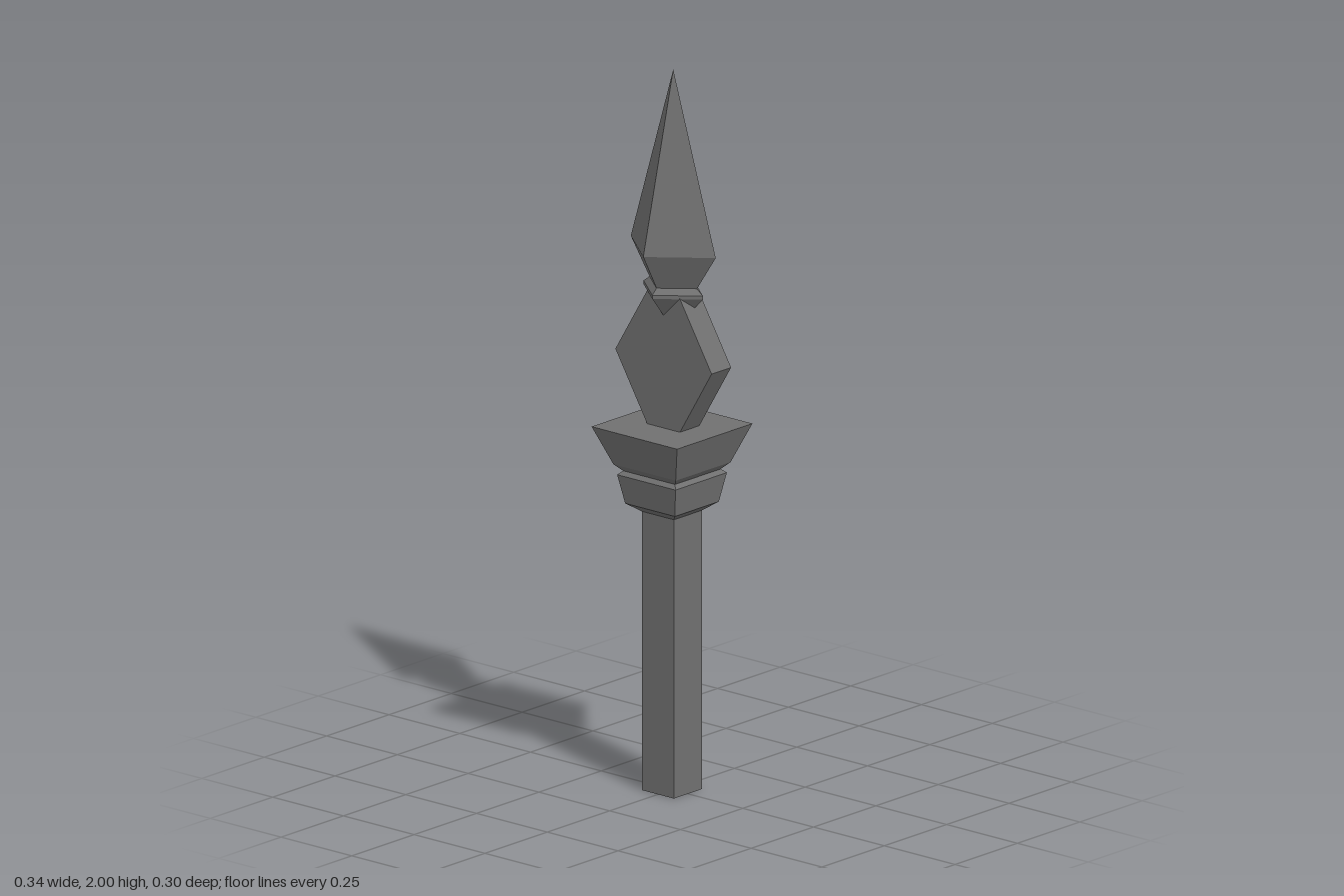
import * as THREE from 'three';

const material = new THREE.MeshStandardMaterial({ color: 0x707070, flatShading: true });

// Four-sided solid from [radius, y] points, listed bottom to top
function fourSided(name, profile) {
  const points = profile.map(([r, y]) => new THREE.Vector2(r, y));
  const geometry = new THREE.LatheGeometry(points, 4).toNonIndexed();
  geometry.computeVertexNormals();
  const mesh = new THREE.Mesh(geometry, material);
  mesh.name = name;
  return mesh;
}

// Square solid with its sides facing the axes, from [half width, y] points
function square(name, profile) {
  const mesh = fourSided(name, profile.map(([w, y]) => [w * Math.SQRT2, y]));
  mesh.geometry.rotateY(Math.PI / 4);
  return mesh;
}

export function createModel() {
  const spear = new THREE.Group();
  spear.name = 'spear';

  // Square shaft
  const shaft = new THREE.Mesh(new THREE.BoxGeometry(0.112, 0.8, 0.112), material);
  shaft.name = 'shaft';
  shaft.position.y = 0.4;
  spear.add(shaft);

  // Two flared tiers above the shaft
  spear.add(square('lowerSocket', [
    [0, 0.775], [0.057, 0.775], [0.088, 0.798], [0.103, 0.878], [0.09, 0.89], [0, 0.89],
  ]));
  spear.add(square('upperSocket', [
    [0, 0.887], [0.09, 0.887], [0.11, 0.907], [0.151, 1.013], [0, 1.013],
  ]));

  // Flat six-cornered plate
  const outline = new THREE.Shape([
    [-0.055, 1.008], [0.055, 1.008], [0.17, 1.198], [0.055, 1.388], [-0.055, 1.388], [-0.17, 1.198],
  ].map(([x, y]) => new THREE.Vector2(x, y)));
  const plateGeometry = new THREE.ExtrudeGeometry(outline, { depth: 0.078, bevelEnabled: false });
  plateGeometry.translate(0, 0, -0.044);
  const plate = new THREE.Mesh(plateGeometry, material);
  plate.name = 'plate';
  spear.add(plate);

  // Diamond blade with a collar that points down into the plate
  const blade = fourSided('blade', [
    [0, 1.277], [0.105, 1.382], [0.105, 1.392], [0.084, 1.408], [0.15, 1.507], [0, 2],
  ]);
  blade.geometry.scale(1, 1, 0.8);
  blade.geometry.translate(0, 0, -0.005);
  blade.geometry.computeVertexNormals();
  spear.add(blade);

  return spear;
}
